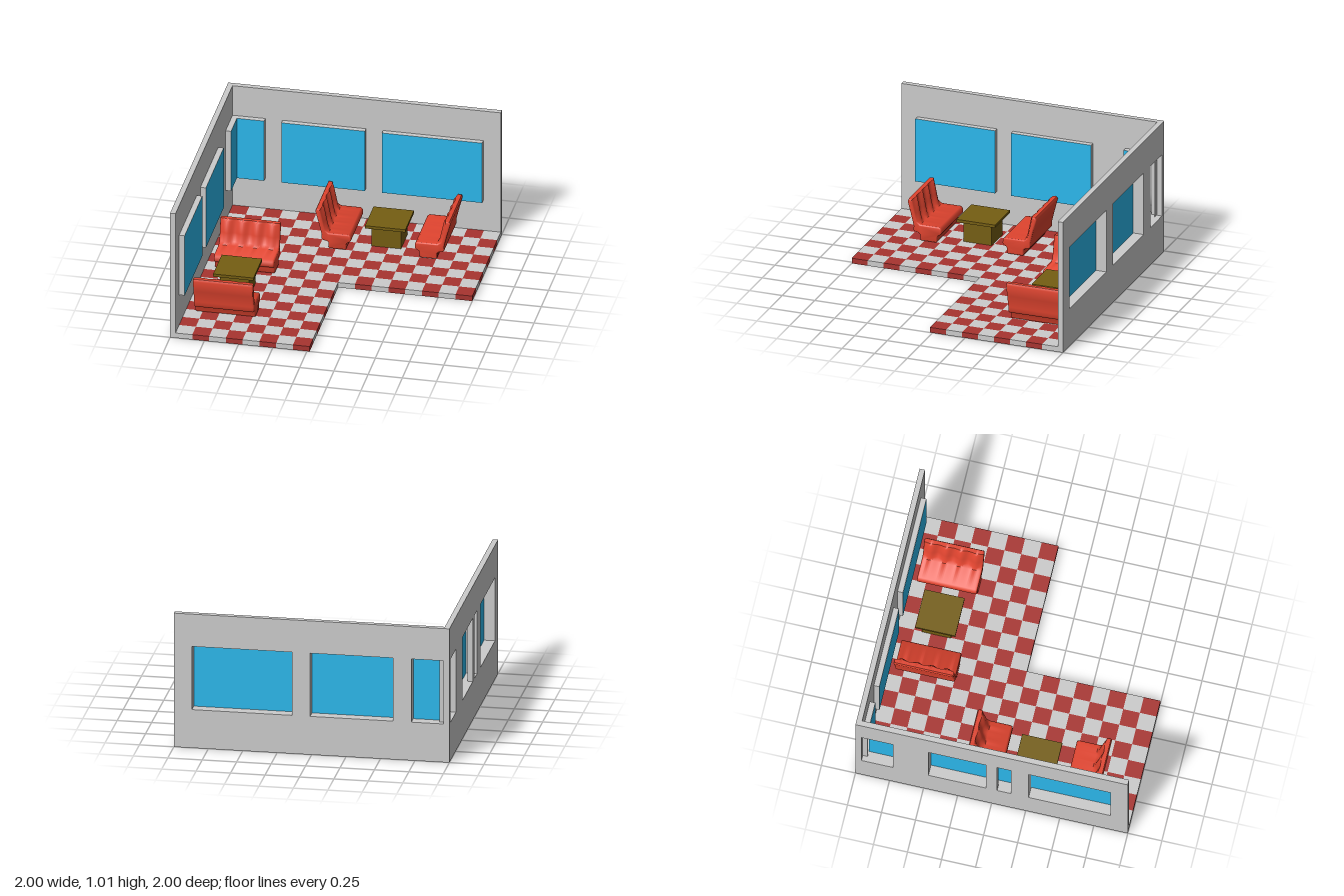
import * as THREE from 'three';
import { mergeGeometries, toCreasedNormals } from 'three/addons/utils/BufferGeometryUtils.js';

const paint = (color, side = THREE.FrontSide) => new THREE.MeshStandardMaterial({ color, side });
const grey = paint(0xcccccc);
const tileRed = paint(0xa83430);
const seatRed = paint(0xe0442f);
const glass = paint(0x2cb8ec, THREE.DoubleSide);
const wood = paint(0x755e12);

function add(parent, name, geometry, material, x = 0, y = 0, z = 0) {
  const mesh = new THREE.Mesh(geometry, material);
  mesh.name = name;
  mesh.position.set(x, y, z);
  parent.add(mesh);
  return mesh;
}

// Rectangle from corner to corner, as a Shape or a hole Path
function rect(Type, x0, y0, x1, y1) {
  return new Type().moveTo(x0, y0).lineTo(x1, y0).lineTo(x1, y1).lineTo(x0, y1).closePath();
}

// L-shaped checkered floor, one quarter left out
function createFloor() {
  const group = new THREE.Group();
  group.name = 'floor';
  const size = 0.1225, tiles = [[], []];
  for (let i = 0; i < 16; i++) {
    for (let j = 0; j < 16; j++) {
      if (i > 7 && j > 7) continue;
      const tile = new THREE.BoxGeometry(size, 0.04, size);
      tile.translate(-0.96 + (i + 0.5) * size, 0.02, -0.96 + (j + 0.5) * size);
      tiles[(i + j) % 2].push(tile);
    }
  }
  add(group, 'redTiles', mergeGeometries(tiles[0]), tileRed);
  add(group, 'greyTiles', mergeGeometries(tiles[1]), grey);
  return group;
}

// Wall along x at the back; each window is a tunnel that ends in a pane inside the room
function createWall(name, windows) {
  const group = new THREE.Group();
  group.name = name;
  const low = 0.285, high = 0.77, rim = 0.004;
  const wall = rect(THREE.Shape, -1, 0, 1, 1.01);
  for (const [a, b] of windows) {
    wall.holes.push(rect(THREE.Path, a, low, b, high));
    const frame = rect(THREE.Shape, a, low, b, high);
    frame.holes.push(rect(THREE.Path, a + rim, low + rim, b - rim, high - rim));
    add(group, 'windowFrame', new THREE.ExtrudeGeometry(frame, { depth: 0.08, bevelEnabled: false }), grey, 0, 0, -1);
    // Panes next to the corner stop where they meet
    const p = Math.max(a, -0.92), q = Math.min(b, 0.92);
    add(group, 'windowPane', new THREE.PlaneGeometry(q - p, high - low), glass, (p + q) / 2, (low + high) / 2, -0.919);
  }
  add(group, 'wallPanel', new THREE.ExtrudeGeometry(wall, { depth: 0.04, bevelEnabled: false }), grey, 0, 0, -1);
  return group;
}

// Bench: side profile swept along its length, with four padded lobes on the backrest
function createBenchGeometry() {
  const profile = [
    [0.275, 0.045], [0.39, 0.045], [0.397, 0.055], [0.397, 0.09], [0.41, 0.101], [0.437, 0.105],
    [0.449, 0.12], [0.447, 0.15], [0.47, 0.245], [0.494, 0.335], [0.486, 0.352], [0.452, 0.352],
    [0.438, 0.335], [0.42, 0.25], [0.406, 0.185], [0.395, 0.166], [0.25, 0.166], [0.236, 0.152],
    [0.234, 0.12], [0.243, 0.107], [0.262, 0.097], [0.268, 0.085], [0.268, 0.053],
  ].map(([x, y]) => new THREE.Vector2(x, y));
  const length = 0.44, bevel = 0.01;
  const geometry = new THREE.ExtrudeGeometry(new THREE.Shape(profile), {
    depth: length - 2 * bevel, steps: 40, bevelThickness: bevel, bevelSize: bevel,
    bevelOffset: -bevel, bevelSegments: 3,
  });
  geometry.translate(0, 0, bevel - length / 2);
  const pos = geometry.attributes.position;
  for (let i = 0; i < pos.count; i++) {
    const x = pos.getX(i), y = pos.getY(i), z = pos.getZ(i);
    const front = 0.406 + (y - 0.185) * 0.21;
    if (y < 0.175 || x > front + 0.02) continue;
    const valley = 0.5 + 0.5 * Math.cos((z / length) * 8 * Math.PI);
    pos.setX(i, x + valley * (y > 0.345 ? 0.006 : 0.018));
  }
  return toCreasedNormals(geometry, 0.9);
}

// Table between two facing benches
function createBooth(name, bench) {
  const group = new THREE.Group();
  group.name = name;
  add(group, 'bench', bench, seatRed);
  add(group, 'bench', bench, seatRed).rotation.y = Math.PI;
  add(group, 'tableTop', new THREE.BoxGeometry(0.295, 0.022, 0.295), wood, 0.004, 0.21, 0.004);
  add(group, 'tablePedestal', new THREE.BoxGeometry(0.215, 0.16, 0.215), wood, 0.004, 0.12, 0.004);
  return group;
}

export function createModel() {
  const model = new THREE.Group();
  model.name = 'dinerCorner';
  model.add(createFloor());

  model.add(createWall('backWall', [[-0.96, -0.72], [-0.595, 0.015], [0.14, 0.873]]));
  const side = createWall('sideWall', [[-0.878, -0.268], [-0.145, 0.468], [0.72, 0.96]]);
  // Outer mullion across the middle side window
  add(side, 'mullion', new THREE.BoxGeometry(0.08, 0.485, 0.04), grey, 0, 0.5275, -0.98);
  side.rotation.y = Math.PI / 2;
  model.add(side);

  const bench = createBenchGeometry();
  const backBooth = createBooth('backBooth', bench);
  backBooth.position.set(0.2435, 0, -0.678);
  const sideBooth = createBooth('sideBooth', bench);
  sideBooth.position.set(-0.668, 0, 0.262);
  sideBooth.rotation.y = Math.PI / 2;
  model.add(backBooth, sideBooth);
  return model;
}
